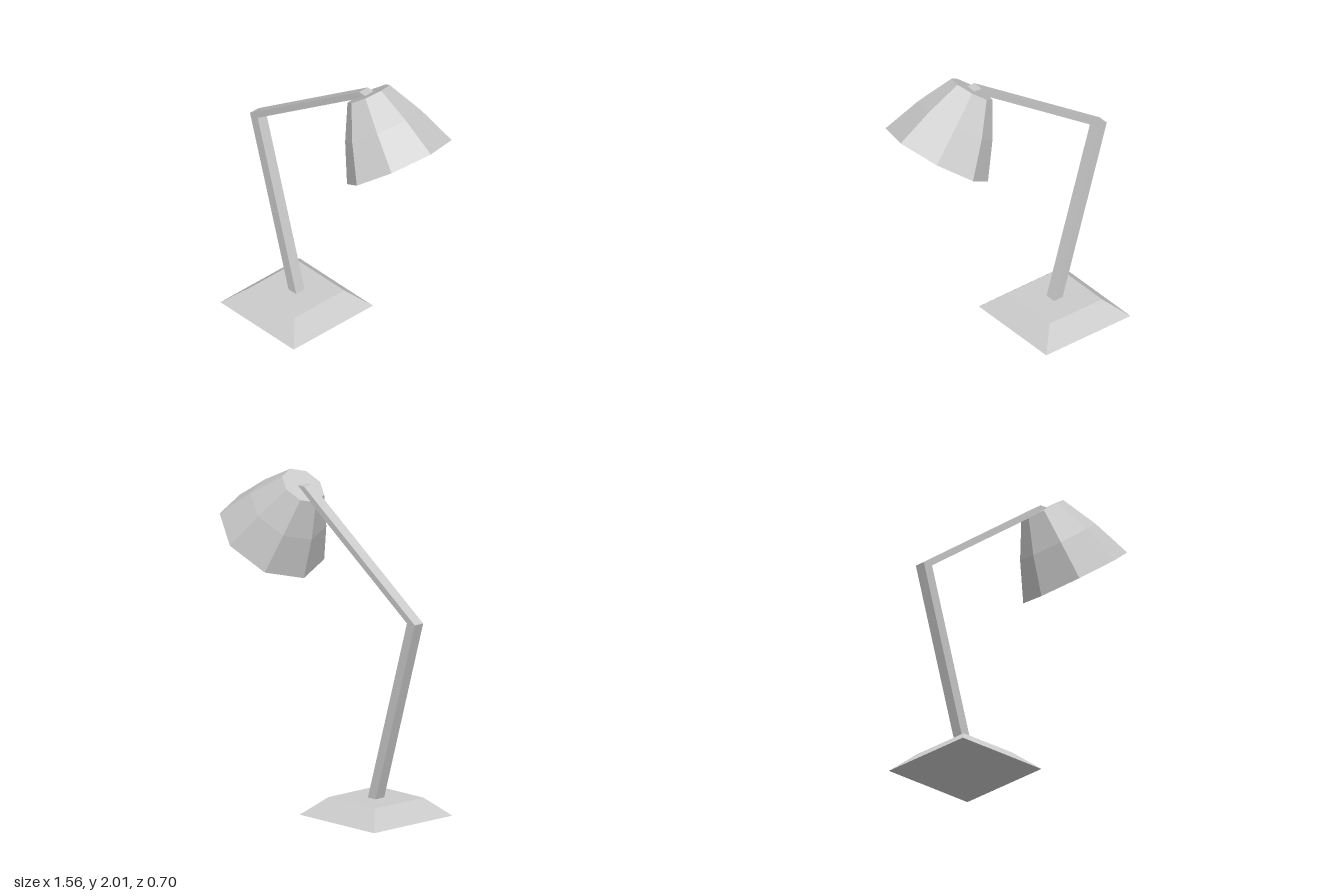
import * as THREE from 'three';

const material = new THREE.MeshStandardMaterial({ color: 0xcccccc, flatShading: true });
const shadeMaterial = new THREE.MeshStandardMaterial({ color: 0xcccccc, flatShading: true, side: THREE.DoubleSide });

// Sheared bar with level ends: each end is a horizontal cut of the given width
function bar(name, [x0, y0], [x1, y1], width, depth) {
  const h = width / 2;
  const shape = new THREE.Shape([
    new THREE.Vector2(x0 - h, y0), new THREE.Vector2(x0 + h, y0),
    new THREE.Vector2(x1 + h, y1), new THREE.Vector2(x1 - h, y1),
  ]);
  const geometry = new THREE.ExtrudeGeometry(shape, { depth, bevelEnabled: false });
  geometry.translate(0, 0, -depth / 2);
  const mesh = new THREE.Mesh(geometry, material);
  mesh.name = name;
  return mesh;
}

export function createModel() {
  const lamp = new THREE.Group();
  lamp.name = 'deskLamp';

  // Square base with sloping sides
  const baseGeometry = new THREE.CylinderGeometry(0.202 * Math.SQRT2, 0.324 * Math.SQRT2, 0.11, 4);
  baseGeometry.rotateY(Math.PI / 4);
  const base = new THREE.Mesh(baseGeometry, material);
  base.name = 'base';
  base.position.set(-0.408, 0.055, -0.003);
  lamp.add(base);

  // Two arms meeting at the elbow
  const elbow = [-0.748, 1.245];
  const arms = [
    bar('lowerArm', [-0.408, 0.11], elbow, 0.068, 0.07),
    bar('upperArm', elbow, [0.216, 1.93], 0.068, 0.07),
  ];
  for (const arm of arms) {
    arm.position.z = -0.003;
    lamp.add(arm);
  }

  // Eight-sided shade: tapering lining, open rim, bulging outer wall, flat cap
  const profile = [
    [0, 0.43], [0.075, 0.43], [0.348, 0], [0.252, 0.24], [0.14, 0.453], [0, 0.453],
  ].map(([r, y]) => new THREE.Vector2(r, y));
  const shade = new THREE.Mesh(new THREE.LatheGeometry(profile, 8), shadeMaterial);
  shade.name = 'shade';
  shade.position.set(0.5, 1.562, -0.003);
  shade.rotation.z = 0.645;
  lamp.add(shade);

  return lamp;
}
